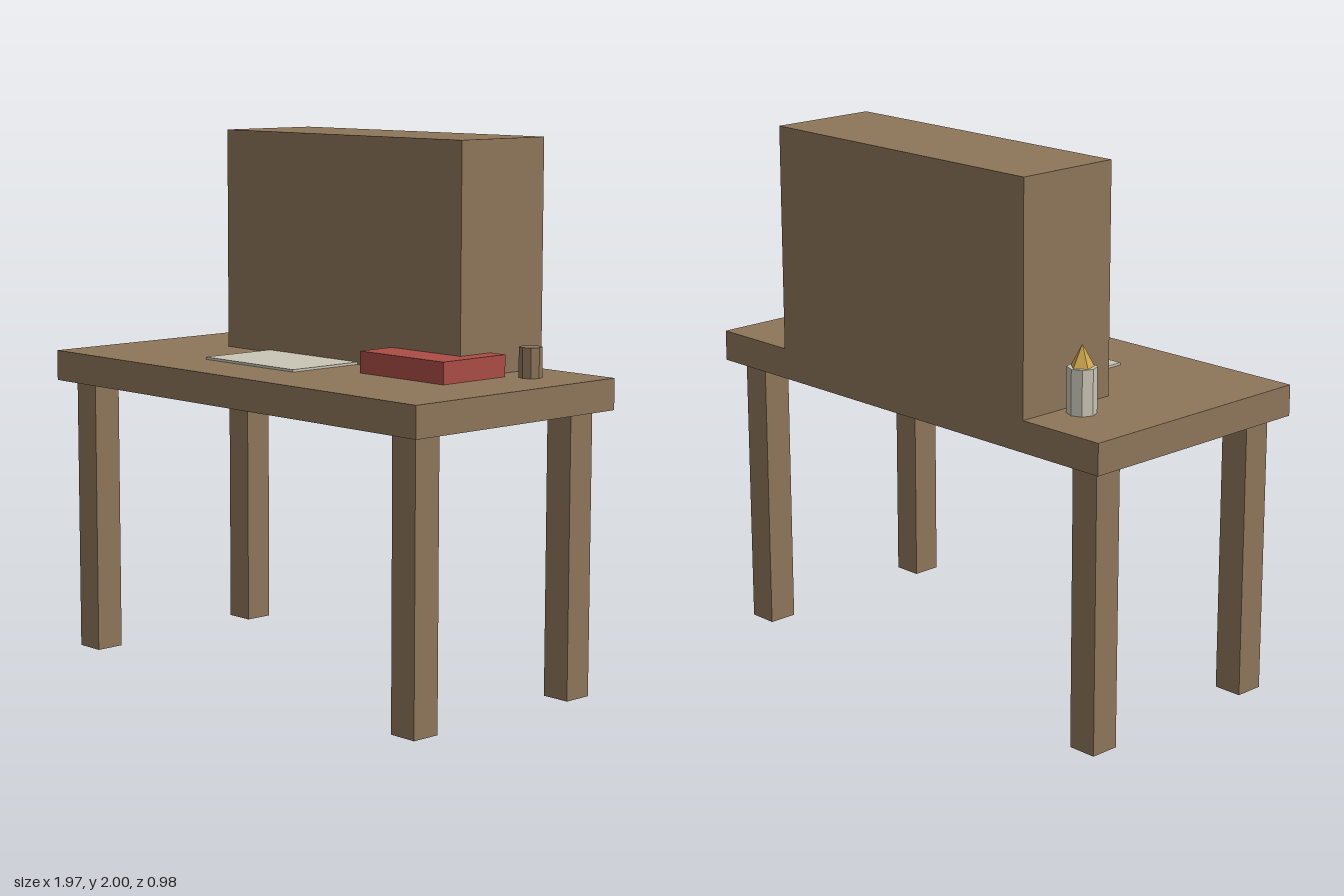
import * as THREE from 'three';

const mat = (name, color) => {
  const m = new THREE.MeshStandardMaterial({ color, flatShading: true });
  m.name = name;
  return m;
};

export function createModel() {
  const wood = mat('wood', 0x8d765a);
  const red = mat('red cover', 0xab4c46);
  const paper = mat('paper and wax', 0xc9c5b6);
  const gold = mat('flame gold', 0xd0a74c);

  const desk = new THREE.Group();
  desk.name = 'desk';

  const add = (name, geometry, material, x, y, z) => {
    const mesh = new THREE.Mesh(geometry, material);
    mesh.name = name;
    mesh.position.set(x, y, z);
    desk.add(mesh);
    return mesh;
  };

  // Box given by its limits along each axis
  const box = (name, material, [x0, x1], [y0, y1], [z0, z1]) =>
    add(name, new THREE.BoxGeometry(x1 - x0, y1 - y0, z1 - z0), material,
      (x0 + x1) / 2, (y0 + y1) / 2, (z0 + z1) / 2);

  const topY = 1.16;

  // Table
  box('tabletop', wood, [-0.985, 0.985], [1.045, topY], [-0.492, 0.492]);
  for (const sx of [-1, 1]) {
    for (const sz of [-1, 1]) {
      const name = (sz > 0 ? 'front' : 'back') + (sx > 0 ? 'Left' : 'Right') + 'Leg';
      add(name, new THREE.BoxGeometry(0.112, 1.045, 0.112), wood, sx * 0.873, 0.5225, sz * 0.383);
    }
  }

  // Cabinet standing along the back edge
  box('cabinet', wood, [-0.632, 0.632], [topY, 2], [-0.492, -0.072]);

  // Things on the table
  box('paperSheet', paper, [-0.39, 0.1], [topY, 1.169], [-0.1, 0.245]);
  box('book', red, [0.28, 0.702], [topY, 1.24], [-0.228, 0.083]);
  add('cup', new THREE.CylinderGeometry(0.042, 0.042, 0.11, 8), wood, 0.773, topY + 0.055, -0.283);

  // Candle with a five-sided flame
  add('candle', new THREE.CylinderGeometry(0.053, 0.053, 0.165, 8), paper, -0.706, topY + 0.0825, -0.283);
  add('flame', new THREE.ConeGeometry(0.043, 0.08, 5), gold, -0.706, 1.365, -0.283).rotation.y = Math.PI;

  return desk;
}
